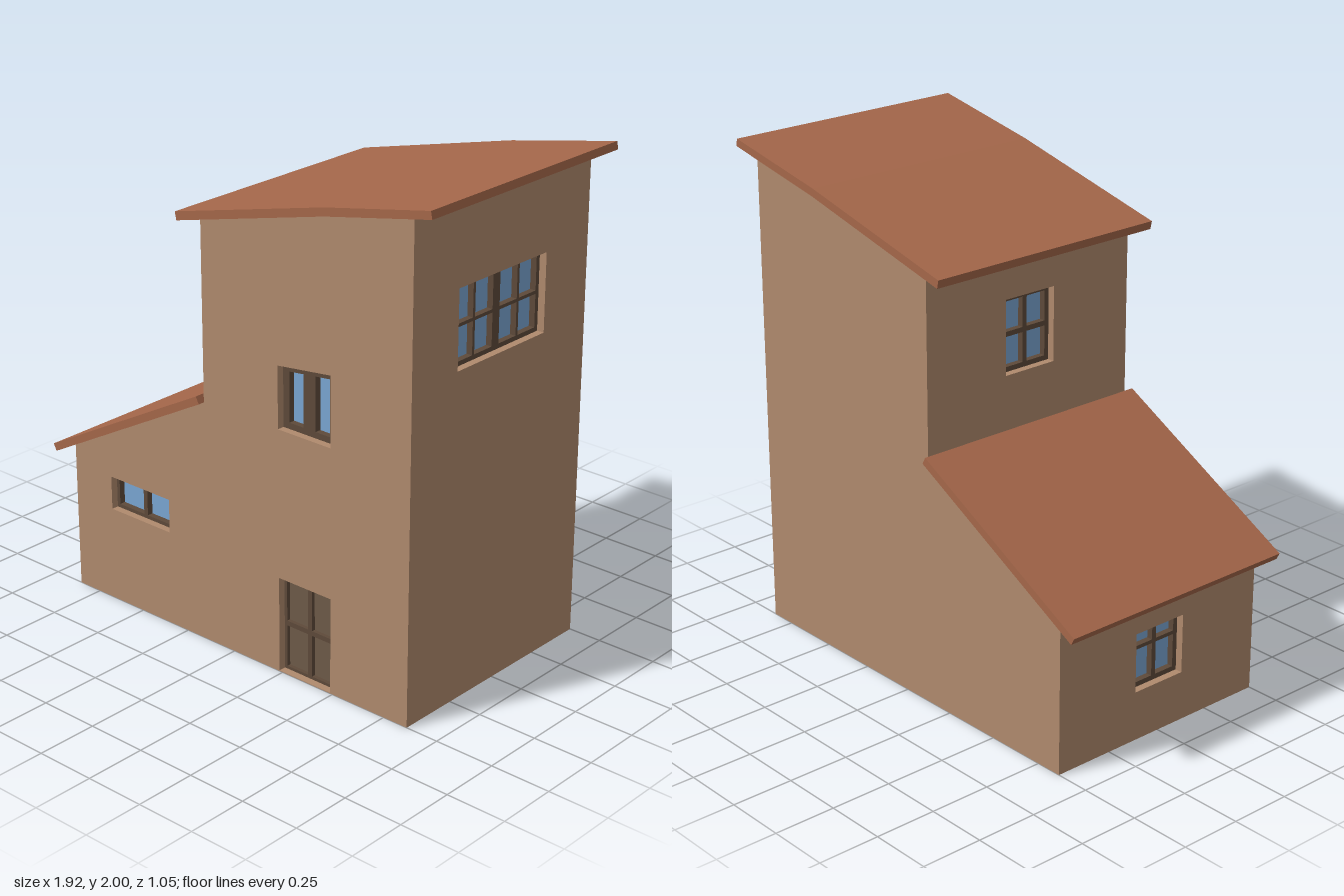
import * as THREE from 'three';

const mat = (color) => new THREE.MeshStandardMaterial({ color, flatShading: true });
const WALL = mat(0xb08a6d), ROOF = mat(0xa5674a), FRAME = mat(0x5e4a3a);
const PANEL = mat(0x6e5a48), GLASS = mat(0x7aa6d2);
const THICK = 0.1, HALF = 0.5; // wall thickness, half depth of the house

const poly = (pts, Type = THREE.Shape) => new Type(pts.map(([x, y]) => new THREE.Vector2(x, y)));

// Extrudes a shape between two z values
function slab(name, shape, z0, z1, material) {
  const geo = new THREE.ExtrudeGeometry(shape, { depth: z1 - z0, bevelEnabled: false });
  geo.translate(0, 0, z0);
  const mesh = new THREE.Mesh(geo, material);
  mesh.name = name;
  return mesh;
}

// Four corners of an opening whose top edge may slope
const corners = (x0, x1, y0, y1, slope = 0, ref = x0) => [
  [x0, y0], [x1, y0], [x1, y1 + slope * (x1 - ref)], [x0, y1 + slope * (x0 - ref)],
];

// Wall in its own plane, outer face at z = 0, with recessed windows or doors
function wall(name, outline, openings = []) {
  const group = new THREE.Group();
  group.name = name;
  const shape = poly(outline);
  for (const o of openings) {
    const [x0, x1, y0, y1] = o.box, slope = o.slope ?? 0;
    const edge = corners(x0, x1, y0, y1, slope);
    shape.holes.push(poly(edge, THREE.Path));
    const frame = poly(edge);
    o.rows.forEach(([b, t], r) => o.cols.forEach(([l, rr]) => {
      const s = r === o.rows.length - 1 ? slope : 0;
      frame.holes.push(poly(corners(l, rr, b, t, s, x0), THREE.Path));
    }));
    const unit = new THREE.Group();
    unit.name = o.name;
    unit.add(slab('frame', frame, -0.07, -0.03, FRAME));
    unit.add(slab(o.door ? 'doorPanel' : 'glass', poly(edge), -0.08, o.door ? -0.045 : -0.055, o.door ? PANEL : GLASS));
    group.add(unit);
  }
  group.add(slab('wallPanel', shape, -THICK, 0, WALL));
  return group;
}

export function createModel() {
  const house = new THREE.Group();
  house.name = 'house';

  // Stepped side profile shared by the front and back walls
  const profile = [
    [-0.86, 0], [0.86, 0], [0.86, 1.953], [0.48, 1.879],
    [-0.14, 1.727], [-0.14, 1.0], [-0.86, 0.618],
  ];

  const front = wall('frontWall', profile, [
    { name: 'lowWindow', box: [-0.66, -0.34, 0.395, 0.535],
      cols: [[-0.645, -0.51], [-0.49, -0.355]], rows: [[0.41, 0.52]] },
    { name: 'slopedWindow', box: [0.235, 0.49, 1.0, 1.25], slope: 0.12,
      cols: [[0.265, 0.333], [0.392, 0.46]], rows: [[1.025, 1.222]] },
    { name: 'door', door: true, box: [0.235, 0.49, 0.003, 0.395],
      cols: [[0.248, 0.352], [0.373, 0.477]], rows: [[0.015, 0.188], [0.208, 0.383]] },
  ]);
  front.position.z = HALF;

  const back = wall('backWall', profile.map(([x, y]) => [-x, y]).reverse());
  back.rotation.y = Math.PI;
  back.position.z = -HALF;

  // End walls fit between the front and back walls
  const w = HALF - THICK;
  const tallEnd = wall('tallEndWall', corners(-w, w, 0, 1.95), [
    { name: 'wideWindow', box: [-0.25, 0.25, 1.32, 1.63],
      cols: [[-0.232, -0.132], [-0.12, -0.02], [0.02, 0.12], [0.132, 0.232]],
      rows: [[1.338, 1.468], [1.481, 1.612]] },
  ]);
  tallEnd.rotation.y = Math.PI / 2;
  tallEnd.position.x = 0.86;

  const lowEnd = wall('lowEndWall', corners(-w, w, 0, 0.62), [
    { name: 'smallWindow', box: [-0.12, 0.12, 0.2, 0.44],
      cols: [[-0.1, -0.01], [0.01, 0.1]], rows: [[0.22, 0.355], [0.37, 0.42]] },
  ]);
  lowEnd.rotation.y = -Math.PI / 2;
  lowEnd.position.x = -0.86;

  const upperEnd = wall('upperEndWall', corners(-w, w, 0.9, 1.73), [
    { name: 'upperWindow', box: [-0.12, 0.12, 1.24, 1.54],
      cols: [[-0.1, -0.01], [0.01, 0.1]], rows: [[1.26, 1.38], [1.4, 1.52]] },
  ]);
  upperEnd.rotation.y = -Math.PI / 2;
  upperEnd.position.x = -0.14;

  // Floor closes the underside
  const floor = new THREE.Mesh(new THREE.BoxGeometry(1.52, 0.03, 0.8), WALL);
  floor.name = 'floor';
  floor.position.y = 0.015;

  // Overhanging roofs
  const upperRoof = slab('upperRoof', poly([
    [-0.235, 1.7], [0.48, 1.875], [0.957, 1.97], [0.951, 2.0], [0.48, 1.908], [-0.242, 1.733],
  ]), -0.527, 0.527, ROOF);
  const lowerRoof = slab('lowerRoof', poly([
    [-0.945, 0.57], [-0.14, 1.0], [-0.155, 1.028], [-0.96, 0.598],
  ]), -0.527, 0.527, ROOF);

  house.add(front, back, tallEnd, lowEnd, upperEnd, floor, upperRoof, lowerRoof);
  return house;
}
